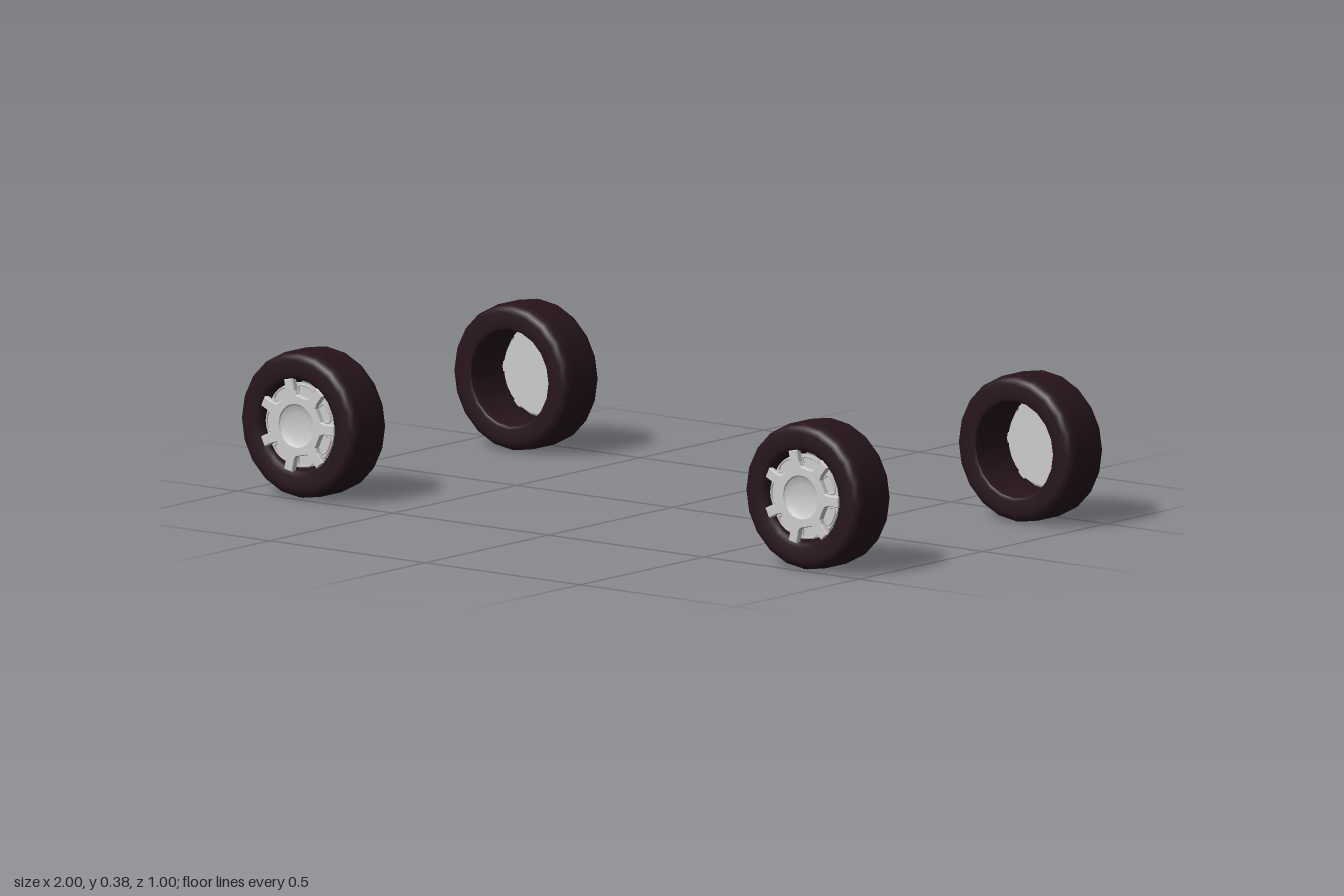
import * as THREE from 'three';

const SPOKES = 7;
const rubber = new THREE.MeshStandardMaterial({ color: 0x26141a });
const metal = new THREE.MeshStandardMaterial({ color: 0xcccccc, side: THREE.DoubleSide });

function part(name, geometry, material) {
  const mesh = new THREE.Mesh(geometry, material);
  mesh.name = name;
  return mesh;
}

// Revolves [radius, z] points about the wheel axle (z)
function revolve(points, segments) {
  return new THREE.LatheGeometry(points.map(([r, z]) => new THREE.Vector2(r, z)), segments).rotateX(Math.PI / 2);
}

// Star of spokes around a round hub with an open centre
function starGeometry() {
  const shape = new THREE.Shape();
  const step = (Math.PI * 2) / SPOKES;
  const outline = [[0.078, -0.2], [0.09, -0.13], [0.119, -0.1], [0.119, 0.1], [0.09, 0.13], [0.078, 0.2], [0.075, step / 2]];
  for (let i = 0; i < SPOKES; i++) {
    outline.forEach(([r, a], j) => {
      const x = r * Math.cos(a + i * step), y = r * Math.sin(a + i * step);
      if (i + j === 0) shape.moveTo(x, y);
      else shape.lineTo(x, y);
    });
  }
  shape.closePath();
  shape.holes.push(new THREE.Path().absarc(0, 0, 0.056, 0, Math.PI * 2, true));
  return new THREE.ExtrudeGeometry(shape, {
    depth: 0.012, bevelEnabled: true, bevelThickness: 0.003, bevelSize: 0.002, bevelSegments: 1, curveSegments: 16,
  });
}

// U-shaped lip between two spokes
function lipGeometry(mid) {
  const half = 0.25;
  const polar = (r, a) => new THREE.Vector3(r * Math.cos(a), r * Math.sin(a), 0.057);
  const path = new THREE.CatmullRomCurve3([
    polar(0.086, mid - half), polar(0.1, mid - half), polar(0.104, mid - half * 0.7), polar(0.105, mid),
    polar(0.104, mid + half * 0.7), polar(0.1, mid + half), polar(0.086, mid + half),
  ]);
  return new THREE.TubeGeometry(path, 14, 0.003, 5);
}

// One wheel with its outer face towards +z
function createWheel() {
  const wheel = new THREE.Group();

  // Hollow tyre, open at the inner side
  wheel.add(part('tyre', revolve([
    [0.125, -0.066], [0.132, -0.07], [0.166, -0.07], [0.178, -0.066], [0.185, -0.056], [0.188, -0.042],
    [0.188, 0.042], [0.185, 0.056], [0.178, 0.066], [0.166, 0.07], [0.132, 0.07], [0.12, 0.064],
    [0.117, 0.05], [0.12, -0.05], [0.125, -0.066],
  ], 20), rubber));

  // Rim plate, a little smaller than the tyre opening
  wheel.add(part('rimPlate', new THREE.CylinderGeometry(0.109, 0.109, 0.006, 28)
    .rotateX(Math.PI / 2).translate(0, 0, 0.051), metal));

  const star = part('spokes', starGeometry(), metal);
  star.position.z = 0.056;
  wheel.add(star);

  // Shallow dished hub
  wheel.add(part('hubDish', revolve([[0.057, 0.07], [0.05, 0.065], [0.035, 0.061], [0.018, 0.059], [0, 0.058]], 28), metal));

  for (let i = 0; i < SPOKES; i++) {
    wheel.add(part('rimLip', lipGeometry(((i + 0.5) * Math.PI * 2) / SPOKES), metal));
  }
  return wheel;
}

export function createModel() {
  const model = new THREE.Group();
  model.name = 'wheelSet';
  for (const sx of [-1, 1]) {
    for (const sz of [-1, 1]) {
      const wheel = createWheel();
      wheel.name = (sz > 0 ? 'front' : 'back') + (sx > 0 ? 'Left' : 'Right') + 'Wheel';
      wheel.position.set(sx * 0.812, 0.188, sz * 0.43);
      if (sz < 0) wheel.rotation.y = Math.PI;
      model.add(wheel);
    }
  }
  return model;
}
